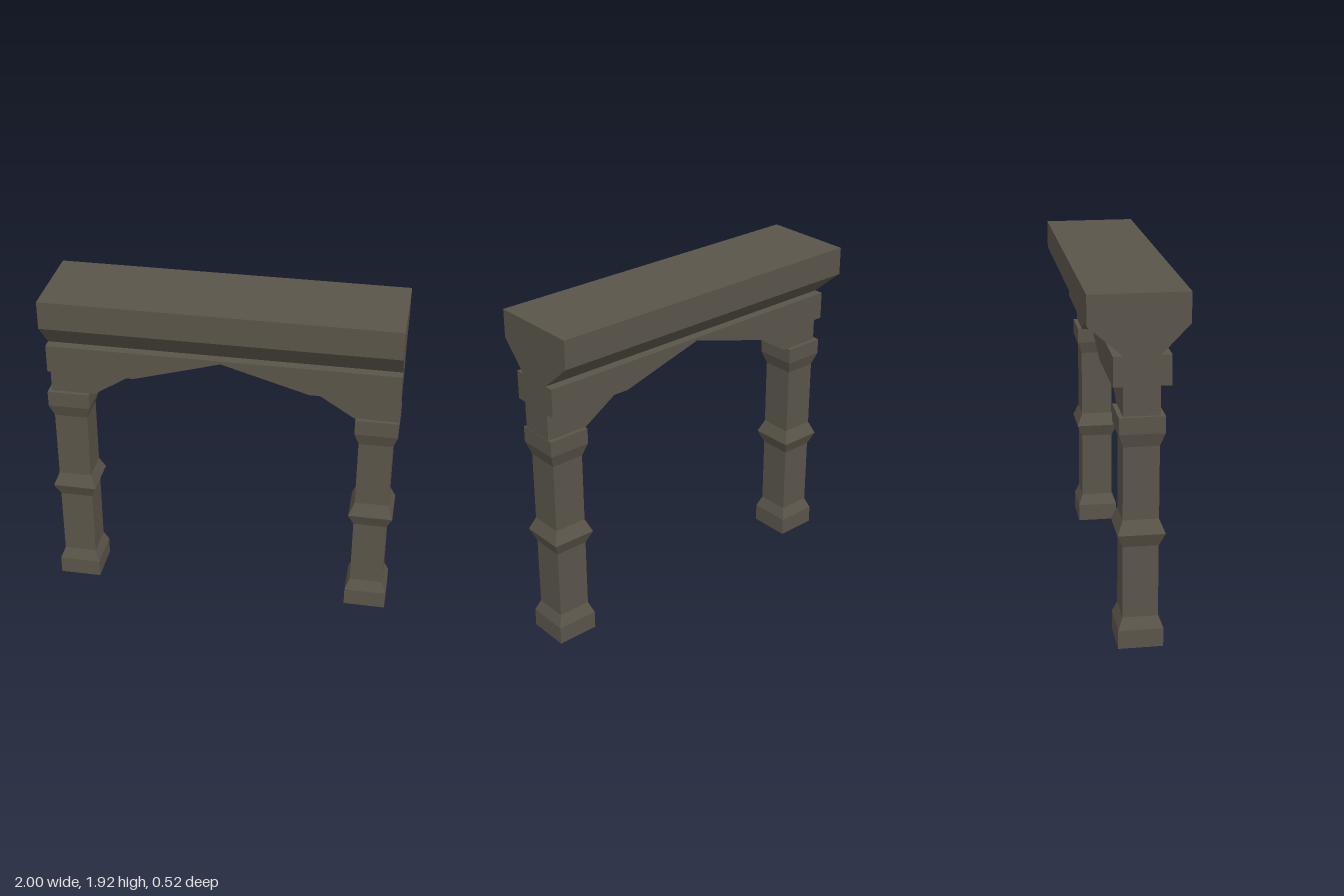
import * as THREE from 'three';

const X0 = -0.973, X1 = 0.99, CX = 0.0085; // beam ends and arch centre
const CZ = 0.0155; // centre line of the columns

function shapeOf(points) {
  return new THREE.Shape(points.map(([x, y]) => new THREE.Vector2(x, y)));
}

// Front-facing outline extruded between two depths
function slab(points, zBack, zFront) {
  const g = new THREE.ExtrudeGeometry(shapeOf(points), { depth: zFront - zBack, bevelEnabled: false });
  return g.translate(0, 0, zBack);
}

export function createModel() {
  const group = new THREE.Group();
  const stone = new THREE.MeshStandardMaterial({ color: 0x5a554a });
  stone.name = 'stone';
  stone.flatShading = true;

  const add = (name, geometry) => {
    const mesh = new THREE.Mesh(geometry, stone);
    mesh.name = name;
    group.add(mesh);
    return mesh;
  };

  // Square columns: half width against height, turned in four sides
  const profile = [
    [0, 0], [0.121, 0], [0.121, 0.105], [0.095, 0.17], [0.095, 0.575], [0.126, 0.65],
    [0.095, 0.725], [0.095, 1.125], [0.12, 1.2], [0.12, 1.29], [0, 1.29],
  ].map(([half, y]) => new THREE.Vector2(half * Math.SQRT2, y));
  const column = new THREE.LatheGeometry(profile, 4, Math.PI / 4).toNonIndexed();
  column.computeVertexNormals();
  for (const [name, x] of [['rightColumn', -0.873], ['leftColumn', 0.872]]) {
    add(name, column).position.set(x, 0, CZ);
  }

  // Sloped brackets on the columns
  for (const [name, end, side] of [['rightBracket', X0, -1], ['leftBracket', X1, 1]]) {
    add(name, slab([
      [end, 1.288], [CX + side * 0.738, 1.288], [CX + side * 0.49, 1.445], [end, 1.445],
    ], -0.081, 0.112));
  }

  // Lintel with a shallow pointed arch cut from below
  add('archedLintel', slab([
    [X0, 1.445], [CX - 0.49, 1.445], [CX, 1.587], [CX + 0.49, 1.445],
    [X1, 1.445], [X1, 1.605], [X0, 1.605],
  ], -0.132, 0.168));

  // Cornice: cross-section as (-z, y), run along x
  const cornice = new THREE.ExtrudeGeometry(shapeOf([
    [-0.112, 1.605], [0.081, 1.605], [0.262, 1.762], [0.262, 1.922], [-0.262, 1.922], [-0.262, 1.762],
  ]), { depth: X1 - X0, bevelEnabled: false });
  add('cornice', cornice.rotateY(Math.PI / 2).translate(X0, 0, 0));

  return group;
}
